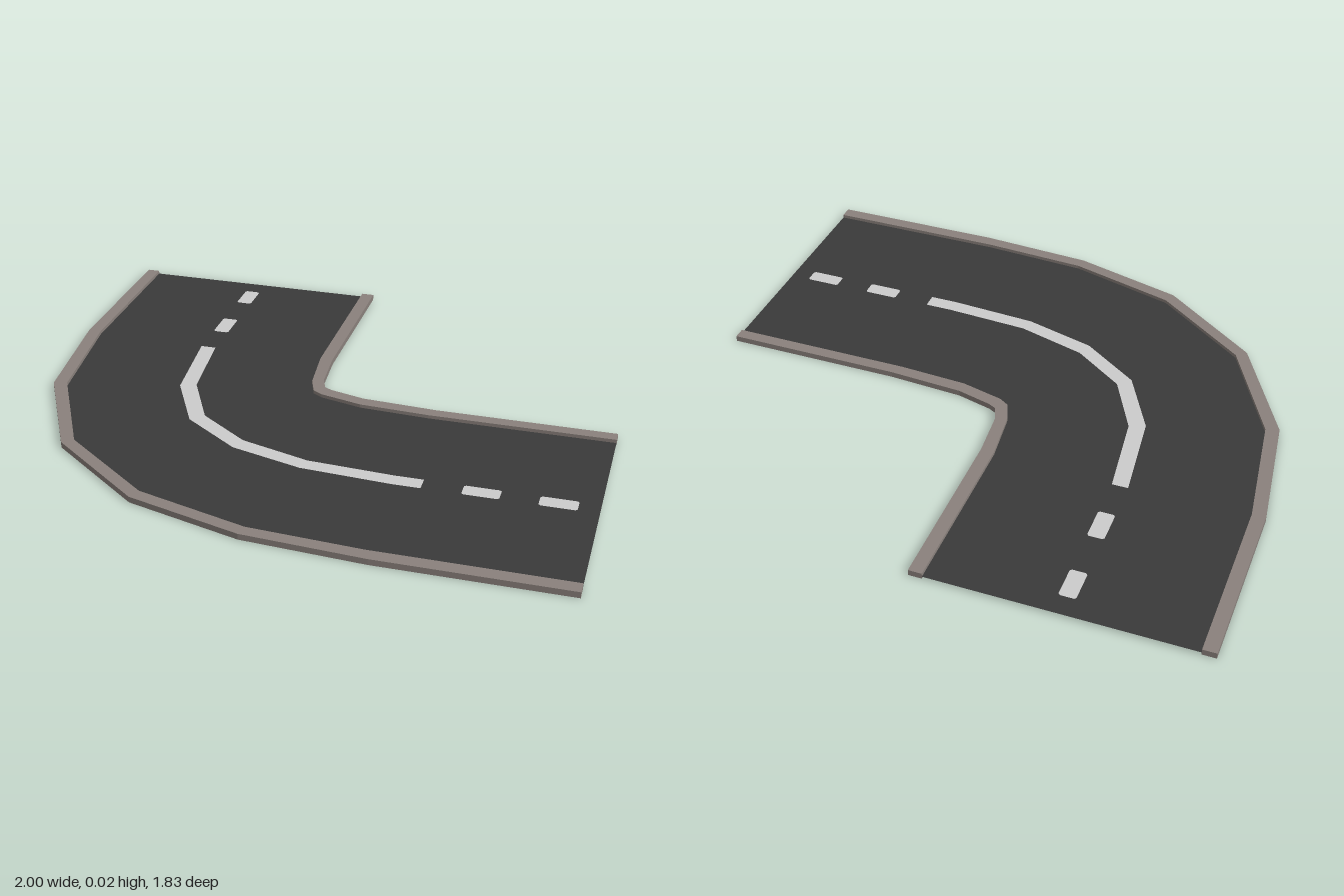
import * as THREE from 'three';

const HEIGHT = 0.02; // top of the kerbs
const ROAD_Y = 0.008; // level of the asphalt

// Edge lines as [x, z], from the back end of the bend to its +x end
const outerKerbOut = [[-1, -0.915], [-1, -0.305], [-0.945, 0.13], [-0.742, 0.517], [-0.4, 0.777], [-0.012, 0.886], [0.39, 0.912], [1, 0.912]];
const outerKerbIn = [[-0.955, -0.915], [-0.955, -0.31], [-0.9, 0.117], [-0.708, 0.49], [-0.383, 0.735], [-0.005, 0.843], [0.37, 0.866], [1, 0.866]];
const innerKerbIn = [[-0.098, -0.915], [-0.098, -0.31], [-0.077, -0.13], [-0.052, -0.062], [-0.018, -0.04], [0.13, -0.003], [0.37, 0.01], [1, 0.01]];
const innerKerbOut = [[-0.053, -0.915], [-0.053, -0.31], [-0.039, -0.147], [-0.019, -0.094], [0.008, -0.08], [0.13, -0.048], [0.39, -0.032], [1, -0.032]];
const lineOut = [[-0.556, -0.315], [-0.52, 0.008], [-0.402, 0.234], [-0.2, 0.377], [0.047, 0.446], [0.35, 0.465], [0.445, 0.465]];
const lineIn = [[-0.502, -0.315], [-0.466, -0.013], [-0.361, 0.195], [-0.183, 0.323], [0.058, 0.394], [0.35, 0.411], [0.445, 0.411]];

// Closed outline between two edge lines
const strip = (a, b) => [...a, ...[...b].reverse()].map(([x, z]) => new THREE.Vector2(x, -z));

// Rectangle with slightly clipped corners
function dash(x0, x1, z0, z1, c = 0.006) {
  return [[x0 + c, z0], [x1 - c, z0], [x1, z0 + c], [x1, z1 - c], [x1 - c, z1], [x0 + c, z1], [x0, z1 - c], [x0, z0 + c]]
    .map(([x, z]) => new THREE.Vector2(x, -z));
}

export function createModel() {
  const group = new THREE.Group();
  const asphalt = new THREE.MeshStandardMaterial({ name: 'asphalt', color: 0x3a3a3a, side: THREE.DoubleSide });
  const paint = new THREE.MeshStandardMaterial({ name: 'paint', color: 0xcccccc, side: THREE.DoubleSide });
  const stone = new THREE.MeshStandardMaterial({ name: 'kerbStone', color: 0x8a817c });

  const add = (name, geometry, material, y) => {
    geometry.rotateX(-Math.PI / 2);
    const mesh = new THREE.Mesh(geometry, material);
    mesh.name = name;
    mesh.position.y = y;
    group.add(mesh);
  };

  // Centre markings: a long curved line with two dashes at each end
  const markings = {
    centreLine: strip(lineOut, lineIn),
    backDashFar: dash(-0.557, -0.501, -0.842, -0.728),
    backDashNear: dash(-0.557, -0.501, -0.57, -0.452),
    leftDashNear: dash(0.573, 0.692, 0.411, 0.465),
    leftDashFar: dash(0.812, 0.932, 0.411, 0.465),
  };

  // Road sheet, cut out where the markings lie so they show on both faces
  const road = new THREE.Shape(strip(outerKerbIn, innerKerbIn));
  for (const [name, points] of Object.entries(markings)) {
    road.holes.push(new THREE.Path(points));
    add(name, new THREE.ShapeGeometry(new THREE.Shape(points)), paint, ROAD_Y);
  }
  add('roadSurface', new THREE.ShapeGeometry(road), asphalt, ROAD_Y);

  // Kerbs on both sides of the road
  const kerb = (name, a, b) => add(name,
    new THREE.ExtrudeGeometry(new THREE.Shape(strip(a, b)), { depth: HEIGHT, bevelEnabled: false }), stone, 0);
  kerb('outerKerb', outerKerbOut, outerKerbIn);
  kerb('innerKerb', innerKerbIn, innerKerbOut);

  return group;
}
